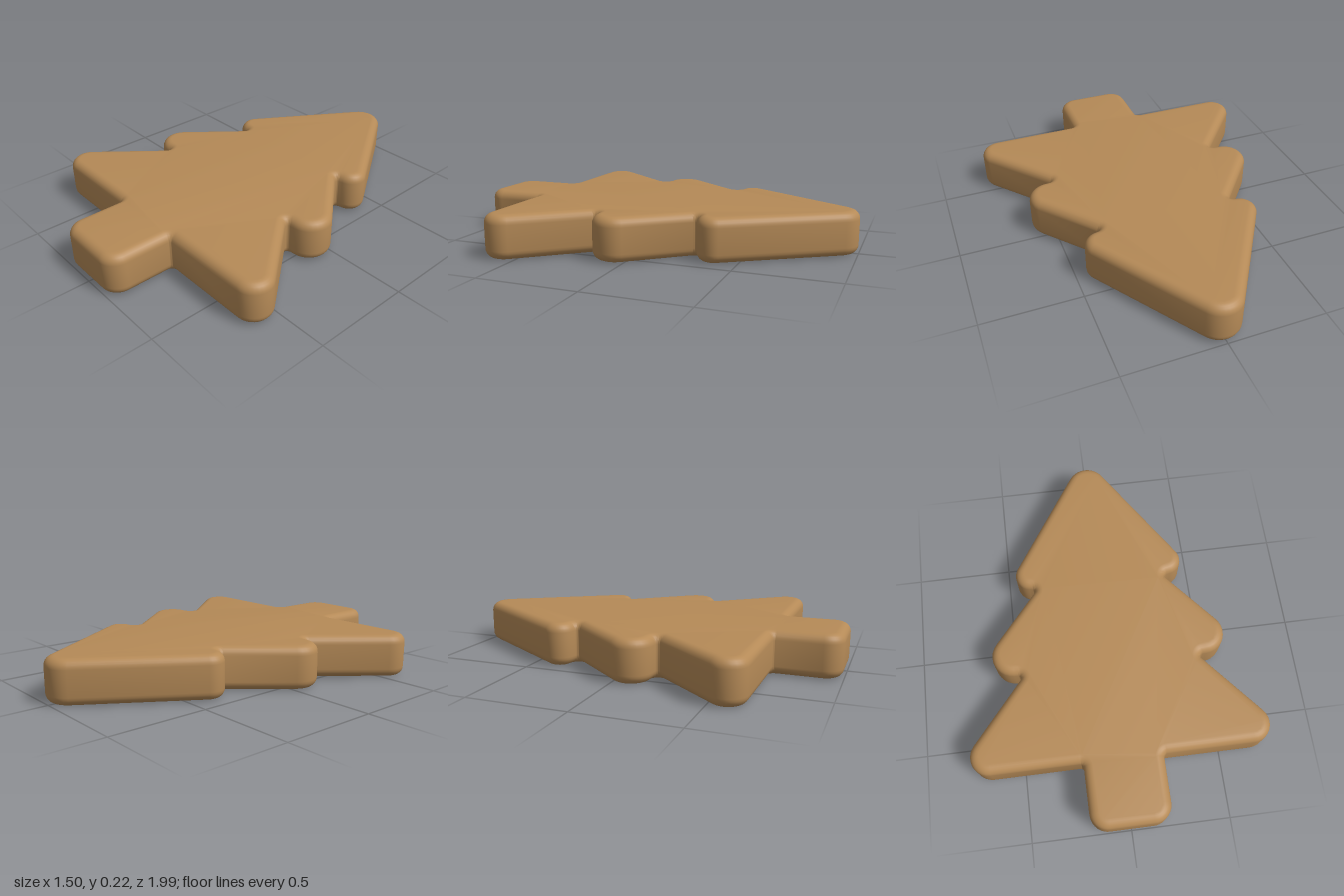
import * as THREE from 'three';
import { toCreasedNormals } from 'three/addons/utils/BufferGeometryUtils.js';

// Right half of the outline from tip to trunk: [x, z, corner radius]
const HALF = [
  [0, -1.09, 0.11],
  [0.5, -0.32, 0.08],    // top tier
  [0.34, -0.29, 0.015],
  [0.725, 0.17, 0.11],   // middle tier
  [0.45, 0.18, 0.015],
  [0.86, 0.67, 0.095],   // bottom tier
  [0.2, 0.67, 0.02],
  [0.2, 0.995, 0.09],    // trunk
];
const BOTTOM = 0.005, TOP = 0.222, BEVEL = 0.045;

// Closed polygon with each corner replaced by a circular arc
function roundedShape(corners, steps = 10) {
  const n = corners.length, points = [];
  corners.forEach(([x, y, r], i) => {
    const [ax, ay] = corners[(i + n - 1) % n], [bx, by] = corners[(i + 1) % n];
    const p = new THREE.Vector2(x, y);
    const a = new THREE.Vector2(ax, ay).sub(p).normalize();
    const b = new THREE.Vector2(bx, by).sub(p).normalize();
    const half = Math.acos(THREE.MathUtils.clamp(a.dot(b), -1, 1)) / 2;
    const centre = p.clone().addScaledVector(a.clone().add(b).normalize(), r / Math.sin(half));
    const reach = r / Math.tan(half);
    const from = p.clone().addScaledVector(a, reach).sub(centre);
    const to = p.clone().addScaledVector(b, reach).sub(centre);
    const start = from.angle();
    const turn = Math.atan2(from.cross(to), from.dot(to));
    for (let k = 0; k <= steps; k++) {
      const t = start + turn * k / steps;
      points.push(new THREE.Vector2(centre.x + r * Math.cos(t), centre.y + r * Math.sin(t)));
    }
  });
  return new THREE.Shape(points);
}

export function createModel() {
  const group = new THREE.Group();
  group.name = 'treeCookie';
  const biscuit = new THREE.MeshStandardMaterial({ color: 0xb58a57 });
  biscuit.name = 'biscuit brown';

  // Mirror the half outline; the shape's y becomes -z once laid flat
  const right = HALF.map(([x, z, r]) => [x, -z, r]);
  const left = right.slice(1).reverse().map(([x, y, r]) => [-x, y, r]);

  // Thick slab with softly rounded rims
  const slab = new THREE.ExtrudeGeometry(roundedShape([...right, ...left]), {
    depth: TOP - BOTTOM - 2 * BEVEL,
    bevelEnabled: true, bevelThickness: BEVEL, bevelSize: BEVEL,
    bevelOffset: -BEVEL, bevelSegments: 6,
  });
  slab.rotateX(-Math.PI / 2);
  slab.translate(0, BOTTOM + BEVEL, 0);

  const mesh = new THREE.Mesh(toCreasedNormals(slab, 0.7), biscuit);
  mesh.name = 'cookieSlab';
  group.add(mesh);
  return group;
}
